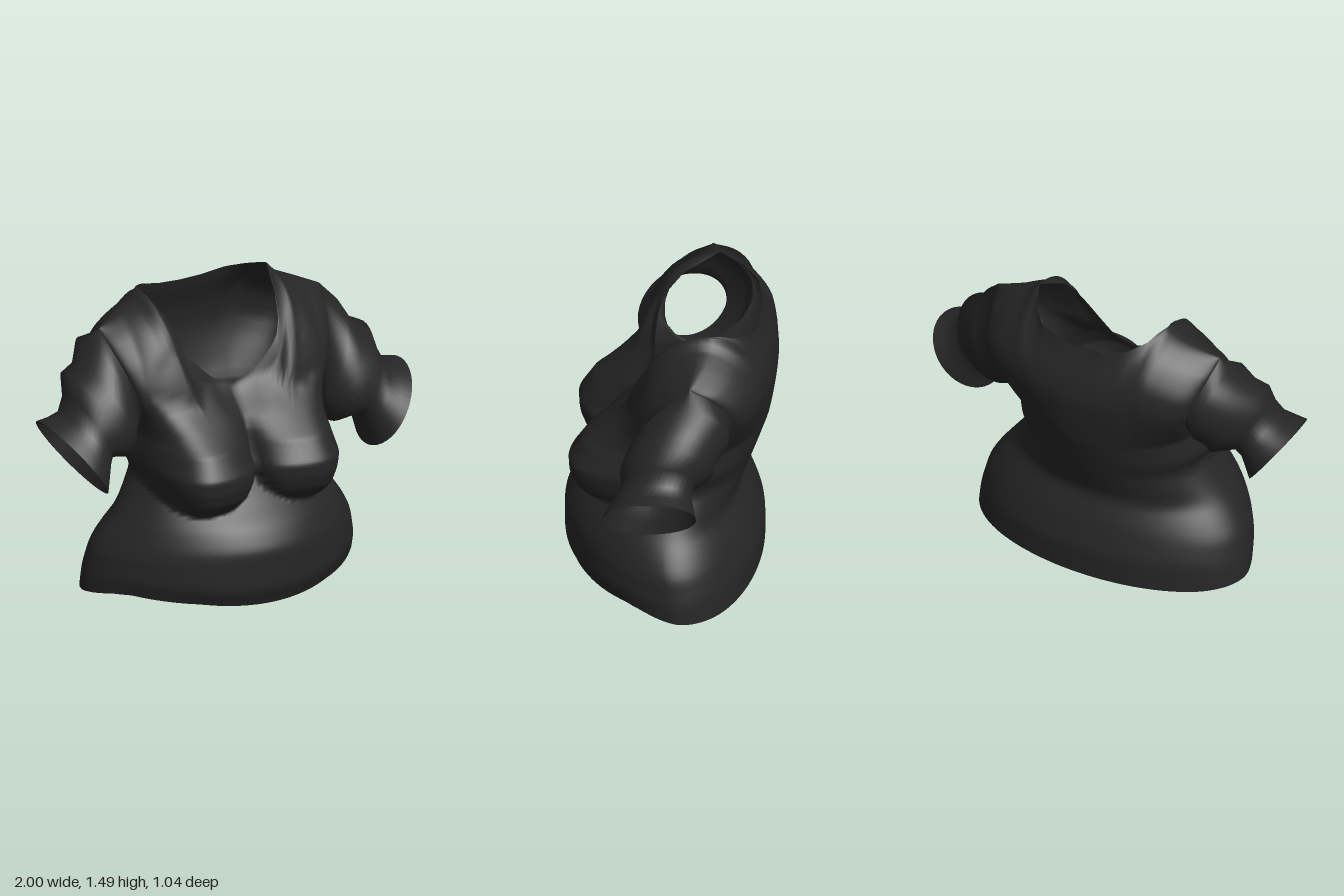
import * as THREE from 'three';

const COLS = 66, LOW = 60, HIGH = 20;   // columns per panel, rows below and above the armpit
const PIT = 0.84, TOP = 1.36, SHIFT = -0.012;

// Linear lookup in a table of [key, value, ...] rows
function look(table, k, col = 1) {
  if (k <= table[0][0]) return table[0][col];
  for (let i = 1; i < table.length; i++) {
    const a = table[i - 1], b = table[i];
    if (k <= b[0]) return a[col] + (b[col] - a[col]) * (k - a[0]) / (b[0] - a[0]);
  }
  return table[table.length - 1][col];
}
// The same with rounded corners
const soft = (table, k) => (look(table, k - 0.03) + 2 * look(table, k) + look(table, k + 0.03)) / 4;

// Half width by height
const width = [[0, 0.735], [0.1, 0.73], [0.25, 0.70], [0.33, 0.65], [0.42, 0.58], [0.5, 0.525], [0.6, 0.465],
  [0.7, 0.508], [0.84, 0.49], [0.9, 0.49], [1, 0.51], [1.1, 0.545], [1.2, 0.58], [1.3, 0.61], [1.36, 0.62]];

// Lift of the hem by z
const hem = [[-0.3, 0.004], [-0.1, 0.015], [0, 0.03], [0.1, 0.05], [0.18, 0.058], [0.4, 0.035], [0.49, 0.01]];

// Each panel: z at the side edge, z at the centre, and the top edge as [x, y, z]
const side = [[0, -0.08], [0.4, -0.01], [0.6, -0.02], [0.84, -0.05]];
const front = {
  sign: 1,
  edge: [...side, [0.9, 0.06], [1, 0.11], [1.1, 0.09], [1.2, 0.05], [1.3, -0.03], [1.36, -0.14]],
  centre: [[0, 0.485], [0.09, 0.528], [0.3, 0.528], [0.4, 0.475], [0.5, 0.38], [0.6, 0.31], [0.72, 0.27],
    [0.84, 0.25], [1, 0.22], [1.2, 0.15], [1.36, 0.1]],
  top: [[0, 1.045, 0.1], [0.1, 1.07, 0.1], [0.18, 1.14, 0.1], [0.25, 1.22, 0.09], [0.285, 1.3, 0.05],
    [0.31, 1.4, -0.03], [0.355, 1.5, -0.2], [0.4, 1.45, -0.2], [0.5, 1.41, -0.18], [0.62, 1.36, -0.14]],
};
const back = {
  sign: -1,
  edge: [...side, [0.9, -0.19], [1, -0.3], [1.1, -0.355], [1.2, -0.355], [1.3, -0.28], [1.36, -0.14]],
  centre: [[0, -0.45], [0.15, -0.45], [0.3, -0.4], [0.43, -0.335], [0.6, -0.4], [0.84, -0.48], [1, -0.51],
    [1.1, -0.53], [1.22, -0.53], [1.36, -0.48]],
  top: [[0, 1.395, -0.43], [0.12, 1.4, -0.43], [0.24, 1.43, -0.4], [0.31, 1.46, -0.32],
    [0.355, 1.5, -0.2], [0.4, 1.45, -0.2], [0.5, 1.41, -0.18], [0.62, 1.36, -0.14]],
};

// Bust: foremost z by height, rounded off sideways, melting into the chest above
const bustPeak = [[0.465, 0.36], [0.5, 0.41], [0.55, 0.455], [0.62, 0.483], [0.69, 0.487], [0.8, 0.42],
  [0.88, 0.325], [0.97, 0.225], [1.06, 0.14]];
function bust(x, y, z) {
  const dx = Math.abs(x) - 0.275, dy = y - 0.69, low = Math.min(1, Math.max(0, -dy / 0.225));
  const rx = (dx > 0 ? 0.22 : 0.265) * Math.sqrt(1 - low * low) + 1e-6;
  const q = (dx / rx) ** 2;
  if (q >= 1) return z;
  const power = 0.42 + Math.max(0, Math.min(0.5, dy * 2.2));
  return z + Math.max(0, look(bustPeak, y) - z) * Math.pow(1 - q, power);
}

// Rows of points from hem to neckline and shoulder seam
function panelRows(p) {
  const rows = [];
  for (let j = 0; j <= LOW + HIGH; j++) {
    const t = Math.max(0, (j - LOW) / HIGH);
    const eased = 1 - Math.pow(1 - t, 1.6);                        // flattens over the shoulder
    const low = PIT * Math.min(1, j / LOW);
    const belly = p.sign > 0 ? 1.3 - 0.3 * THREE.MathUtils.smoothstep(low, 0.25, 0.5) : 1;
    const row = [];
    for (let i = 0; i <= COLS; i++) {
      const a = Math.PI * i / COLS, s = Math.cos(a), topX = Math.abs(s) * 0.62;
      const round = THREE.MathUtils.smoothstep(topX, 0.22, 0.4);
      const rise = t + (eased - t) * round;
      const l = low + (TOP - PIT) * rise;
      const x = s * soft(width, l), ze = look(p.edge, l), zc = soft(p.centre, l);
      let y = low + (look(p.top, topX, 1) - PIT) * rise;
      let z = ze + (zc - ze) * Math.pow(Math.max(0, Math.sin(a)), belly);
      y += look(hem, z) * Math.max(0, 1 - low / 0.25);
      if (p.sign > 0 && i > 0 && i < COLS) z = bust(x, y, z);
      z += (look(p.top, topX, 2) - z) * t ** 3;
      row.push([x + SHIFT, y, z]);
    }
    rows.push(row);
  }
  return rows;
}

// Surface through rows of points
function surface(rows, flip) {
  const n = rows[0].length, index = [];
  for (let j = 0; j < rows.length - 1; j++) {
    for (let i = 0; i < n - 1; i++) {
      const a = j * n + i, b = a + 1, c = a + n, d = c + 1;
      if (flip) index.push(a, c, b, b, c, d);
      else index.push(a, b, c, b, d, c);
    }
  }
  const g = new THREE.BufferGeometry();
  g.setAttribute('position', new THREE.Float32BufferAttribute(rows.flat(2), 3));
  g.setIndex(index);
  g.computeVertexNormals();
  return g;
}

// Share normals where pieces meet, so that the seams are smooth
function blendSeams(pieces) {
  const sums = new Map();
  const each = (fn) => pieces.forEach(({ attributes: { position: p, normal: n } }) => {
    for (let i = 0; i < p.count; i++) {
      const key = [p.getX(i), p.getY(i), p.getZ(i)].map(v => Math.round(v * 1e4)).join();
      if (!sums.has(key)) sums.set(key, new THREE.Vector3());
      fn(sums.get(key), n, i);
    }
  });
  const v = new THREE.Vector3();
  each((sum, n, i) => sum.add(v.fromBufferAttribute(n, i)));
  each((sum, n, i) => { v.copy(sum).normalize(); n.setXYZ(i, v.x, v.y, v.z); });
}

// Sleeve rings: top x, top y, bottom x, bottom y, centre z, half depth, forward tilt
const sleeveRings = [
  [0.69, 1.275, 0.515, 0.79, -0.095, 0.235, 0.05],
  [0.745, 1.17, 0.54, 0.745, -0.05, 0.225, 0.05],
  [0.825, 1.135, 0.565, 0.70, -0.035, 0.23, 0.045],
  [0.845, 1.04, 0.68, 0.725, 0, 0.175, 0.04],
  [0.88, 0.96, 0.705, 0.70, 0.02, 0.185, 0.04],
  [0.94, 0.94, 0.725, 0.63, 0.03, 0.21, 0.045],
  [1.0, 0.93, 0.74, 0.565, 0.035, 0.23, 0.05],
];

// Rows of a sleeve on one side (1 left, -1 right), starting at the armhole
function sleeveRows(frontRows, backRows, m) {
  const col = m > 0 ? 0 : COLS, armhole = [];
  const [lift, push] = m > 0 ? [0, 0] : [0.03, -0.02];
  for (let j = LOW; j <= LOW + HIGH; j++) armhole.push(frontRows[j][col]);
  for (let j = LOW + HIGH - 1; j >= LOW; j--) armhole.push(backRows[j][col]);
  const rings = sleeveRings.map(([tx, ty, bx, by, zc, rz, tilt]) => armhole.map((_, i) => {
    const a = Math.PI * i / HIGH, c = Math.cos(a);
    return [m * ((tx + bx) / 2 + (bx - tx) / 2 * c), (ty + by) / 2 + (by - ty) / 2 * c + lift,
      zc + rz * Math.sin(a) + tilt * c + push];
  }));
  return [armhole, ...rings];
}

export function createModel() {
  const group = new THREE.Group();
  group.name = 'shirt';
  const cloth = new THREE.MeshStandardMaterial({ color: 0x262626, side: THREE.DoubleSide });
  cloth.name = 'blackCloth';

  // Front and back panels joined at the sides and shoulders, puffed sleeves with flared cuffs
  const f = panelRows(front), b = panelRows(back);
  const parts = {
    frontPanel: surface(f, true),
    backPanel: surface(b, false),
    leftSleeve: surface(sleeveRows(f, b, 1), true),
    rightSleeve: surface(sleeveRows(f, b, -1), false),
  };
  blendSeams(Object.values(parts));
  for (const [name, geometry] of Object.entries(parts)) {
    const mesh = new THREE.Mesh(geometry, cloth);
    mesh.name = name;
    group.add(mesh);
  }
  return group;
}
